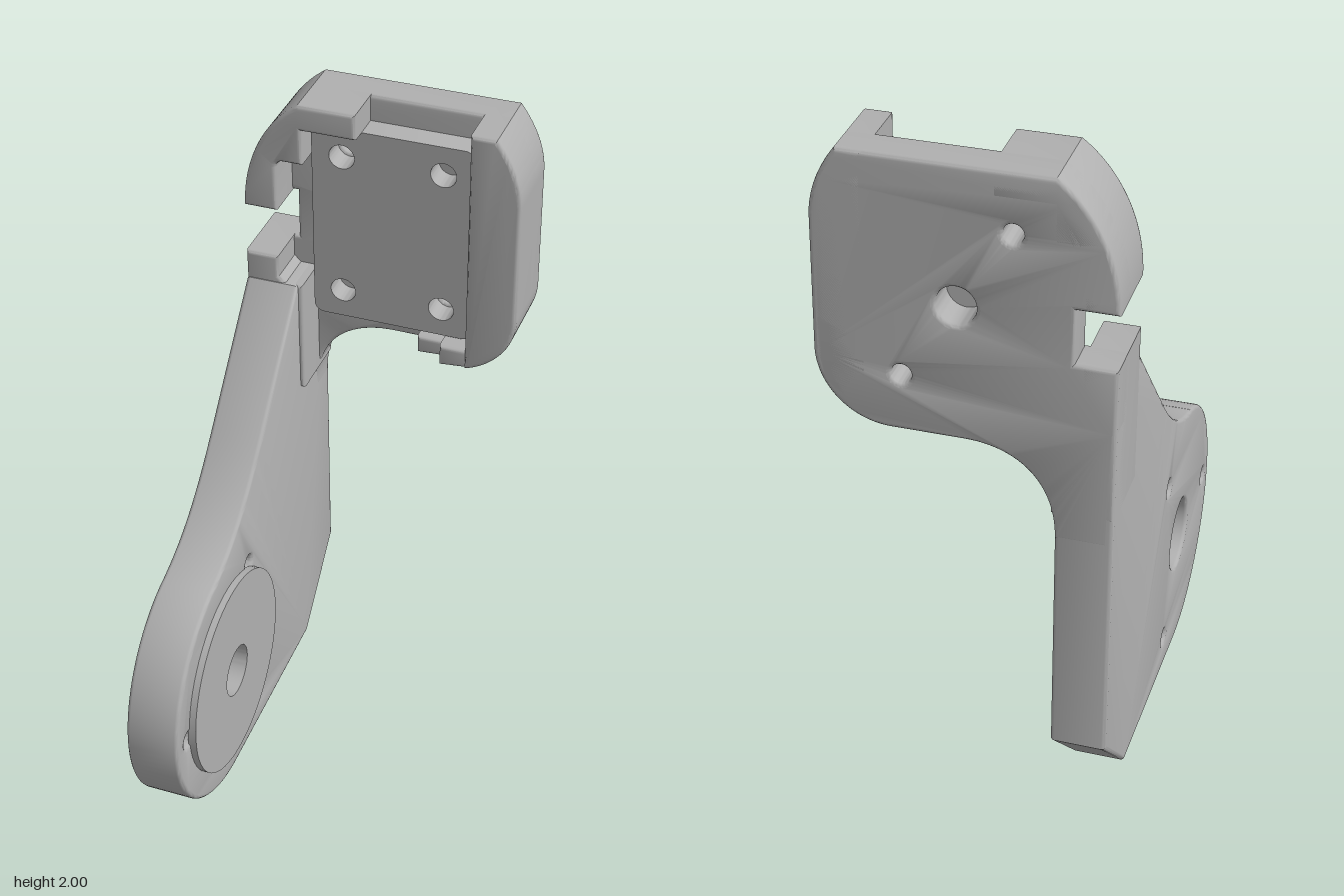
import * as THREE from 'three';
import { toCreasedNormals } from 'three/addons/utils/BufferGeometryUtils.js';

const BEVEL = 0.012;
const TILT = 0.037; // backward lean of the head per unit of height

const circle = (x, y, r) => new THREE.Path().absarc(x, y, r, 0, Math.PI * 2, true);
const polygon = (pts) => new THREE.Shape(pts.map(([x, y]) => new THREE.Vector2(x, y)));

// Extrude from z = start to z = end, outline kept exact, edges softly rounded
function slab(shape, start, end, bevel = BEVEL) {
  const g = new THREE.ExtrudeGeometry(shape, {
    depth: end - start - 2 * bevel, curveSegments: 24,
    bevelEnabled: bevel > 0, bevelThickness: bevel, bevelSize: bevel,
    bevelOffset: -bevel, bevelSegments: 3,
  });
  return g.translate(0, 0, start + bevel);
}

// Lean a head part so that its back follows the sloping rear plane
function lean(g) {
  const p = g.attributes.position;
  for (let i = 0; i < p.count; i++) {
    p.setZ(i, p.getZ(i) - 0.57 - TILT * (2 - p.getY(i)));
  }
  return g;
}

export function createModel() {
  const model = new THREE.Group();
  model.name = 'bracket';
  const grey = new THREE.MeshStandardMaterial({ color: 0xb0b0b0 });
  grey.name = 'grey plastic';

  const add = (name, geometry) => {
    const mesh = new THREE.Mesh(toCreasedNormals(geometry, 0.6), grey);
    mesh.name = name;
    model.add(mesh);
  };

  // Side arm, drawn in (-z, y) and turned to run along x
  const hubZ = 0.237, hubY = 0.4;
  const arm = new THREE.Shape();
  arm.moveTo(0.4, 0.03);
  arm.lineTo(0.633, 0.27);
  arm.lineTo(0.592, 1.4);
  arm.lineTo(0.35, 1.4);
  arm.lineTo(0.05, 1.06);
  arm.bezierCurveTo(-0.09, 0.9, -0.2, 0.825, -0.347, 0.784);
  arm.absarc(-hubZ, hubY, 0.4, 1.85, Math.PI * 1.5, false);
  arm.holes.push(circle(-hubZ, hubY, 0.11));
  for (let i = 0; i < 3; i++) {
    const a = Math.PI + (i * Math.PI * 2) / 3;
    arm.holes.push(circle(-hubZ + 0.325 * Math.cos(a), hubY + 0.325 * Math.sin(a), 0.026));
  }
  add('arm', slab(arm, -0.41, -0.25).rotateY(Math.PI / 2));

  // Raised pivot disc with its bored sleeve inside the arm
  const discProfile = [[0.08, -0.33], [0.125, -0.33], [0.125, -0.255], [0.315, -0.255],
    [0.315, -0.23], [0.08, -0.23], [0.08, -0.33]].map(([r, h]) => new THREE.Vector2(r, h));
  add('pivotDisc', new THREE.LatheGeometry(discProfile, 64)
    .rotateZ(-Math.PI / 2).translate(0, hubY, hubZ));

  // Back plate of the head, flowing into the arm, with the side notch
  const plate = new THREE.Shape();
  plate.moveTo(-0.4, 0.95);
  plate.lineTo(-0.25, 0.95);
  plate.bezierCurveTo(-0.25, 1.12, -0.15, 1.213, 0, 1.213);
  plate.lineTo(0.2, 1.213);
  plate.absarc(0.2, 1.423, 0.21, -Math.PI / 2, 0, false);
  plate.lineTo(0.41, 1.8);
  plate.quadraticCurveTo(0.41, 1.9, 0.335, 2);
  plate.lineTo(-0.24, 2);
  plate.bezierCurveTo(-0.34, 1.93, -0.41, 1.8, -0.41, 1.645);
  plate.lineTo(-0.295, 1.645);
  plate.lineTo(-0.295, 1.49);
  plate.lineTo(-0.41, 1.49);
  plate.lineTo(-0.41, 1.3);
  plate.holes.push(circle(-0.13, 1.83, 0.028), circle(0.17, 1.38, 0.028), circle(0.02, 1.605, 0.055));
  add('backPlate', lean(slab(plate, 0, 0.11)));

  // Right wall with rounded outer corners
  const wall = new THREE.Shape();
  wall.moveTo(0.26, 1.222);
  wall.absarc(0.2, 1.423, 0.21, -1.28, 0, false);
  wall.lineTo(0.41, 1.8);
  wall.quadraticCurveTo(0.41, 1.9, 0.335, 2);
  wall.lineTo(0.26, 2);
  add('outerWall', lean(slab(wall, 0, 0.24)));

  // Upper corner wall above the notch
  const corner = new THREE.Shape();
  corner.moveTo(-0.07, 2);
  corner.lineTo(-0.24, 2);
  corner.bezierCurveTo(-0.34, 1.93, -0.41, 1.8, -0.41, 1.645);
  corner.lineTo(-0.31, 1.645);
  corner.lineTo(-0.31, 1.785);
  corner.quadraticCurveTo(-0.31, 1.81, -0.285, 1.81);
  corner.lineTo(-0.23, 1.81);
  corner.lineTo(-0.23, 1.92);
  corner.lineTo(-0.07, 1.92);
  add('cornerWall', lean(slab(corner, 0, 0.24)));

  // Lower wall under the notch, standing on the arm
  add('lowerWall', lean(slab(polygon([[-0.41, 1.03], [-0.238, 1.03], [-0.238, 1.4],
    [-0.29, 1.4], [-0.31, 1.42], [-0.31, 1.49], [-0.41, 1.49]]), 0, 0.24)));

  // Stepped retaining lip at the bottom of the pocket
  const lip = (x0, y1) => polygon([[x0, 1.213], [0.28, 1.222], [0.28, y1], [x0, y1]]);
  add('lowerLip', lean(slab(lip(0.1, 1.27), 0.05, 0.19)));
  add('upperLip', lean(slab(lip(0.18, 1.28), 0.05, 0.23)));

  // Inset mounting panel with four screw holes
  const [l, r, b, t, c] = [-0.22, 0.262, 1.29, 1.92, 0.03];
  const panel = new THREE.Shape();
  panel.absarc(r - c, b + c, c, -Math.PI / 2, 0, false);
  panel.absarc(r - c, t - c, c, 0, Math.PI / 2, false);
  panel.absarc(l + c, t - c, c, Math.PI / 2, Math.PI, false);
  panel.absarc(l + c, b + c, c, Math.PI, Math.PI * 1.5, false);
  for (const x of [-0.13, 0.17]) {
    for (const y of [1.38, 1.83]) panel.holes.push(circle(x, y, 0.038));
  }
  add('mountingPanel', lean(slab(panel, 0.1, 0.185, 0)));

  return model;
}
